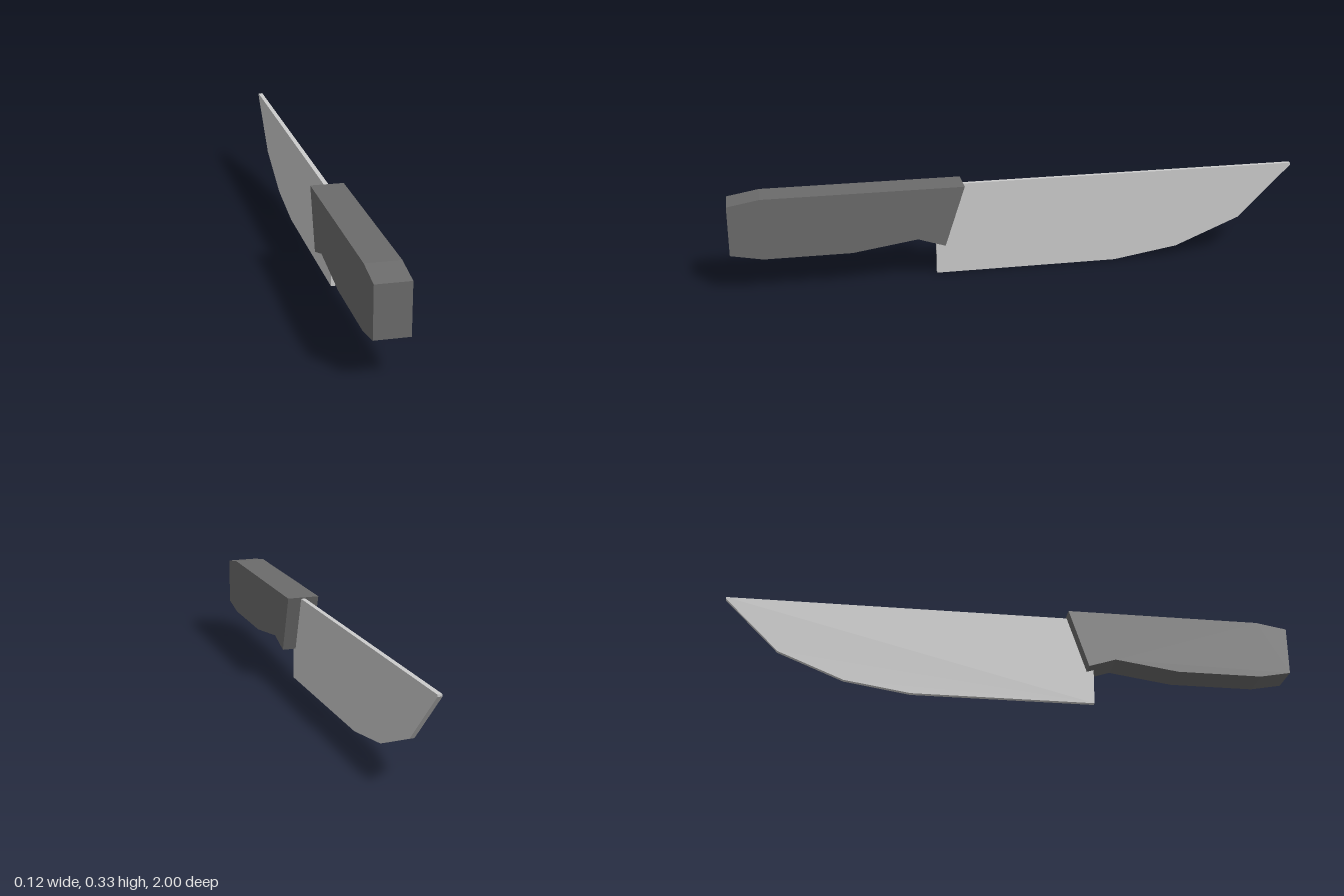
import * as THREE from 'three';

// Side outline given as [z, y] points, extruded to a width centred on x = 0
function slab(name, outline, width, color) {
  const shape = new THREE.Shape(outline.map(([z, y]) => new THREE.Vector2(z, y)));
  const geometry = new THREE.ExtrudeGeometry(shape, { depth: width, bevelEnabled: false });
  geometry.translate(0, 0, -width / 2);
  geometry.rotateY(-Math.PI / 2);
  const mesh = new THREE.Mesh(geometry, new THREE.MeshStandardMaterial({ color, flatShading: true }));
  mesh.name = name;
  return mesh;
}

export function createModel() {
  const model = new THREE.Group();
  model.name = 'kitchenKnife';

  // Thin blade: straight spine, faceted belly, square heel tucked into the handle
  model.add(slab('blade', [
    [0.295, 0], [0.295, 0.325], [-1, 0.325], [-1, 0.318],
    [-0.81, 0.13], [-0.58, 0.036], [-0.35, 0],
  ], 0.016, 0xcccccc));

  // Dark handle with chamfered butt, finger notch and slanted front
  model.add(slab('handle', [
    [1, 0.138], [1, 0.311], [0.89, 0.33], [0.2, 0.33],
    [0.27, 0.119], [0.365, 0.15], [0.59, 0.117], [0.89, 0.117],
  ], 0.115, 0x6b6b6b));

  return model;
}
